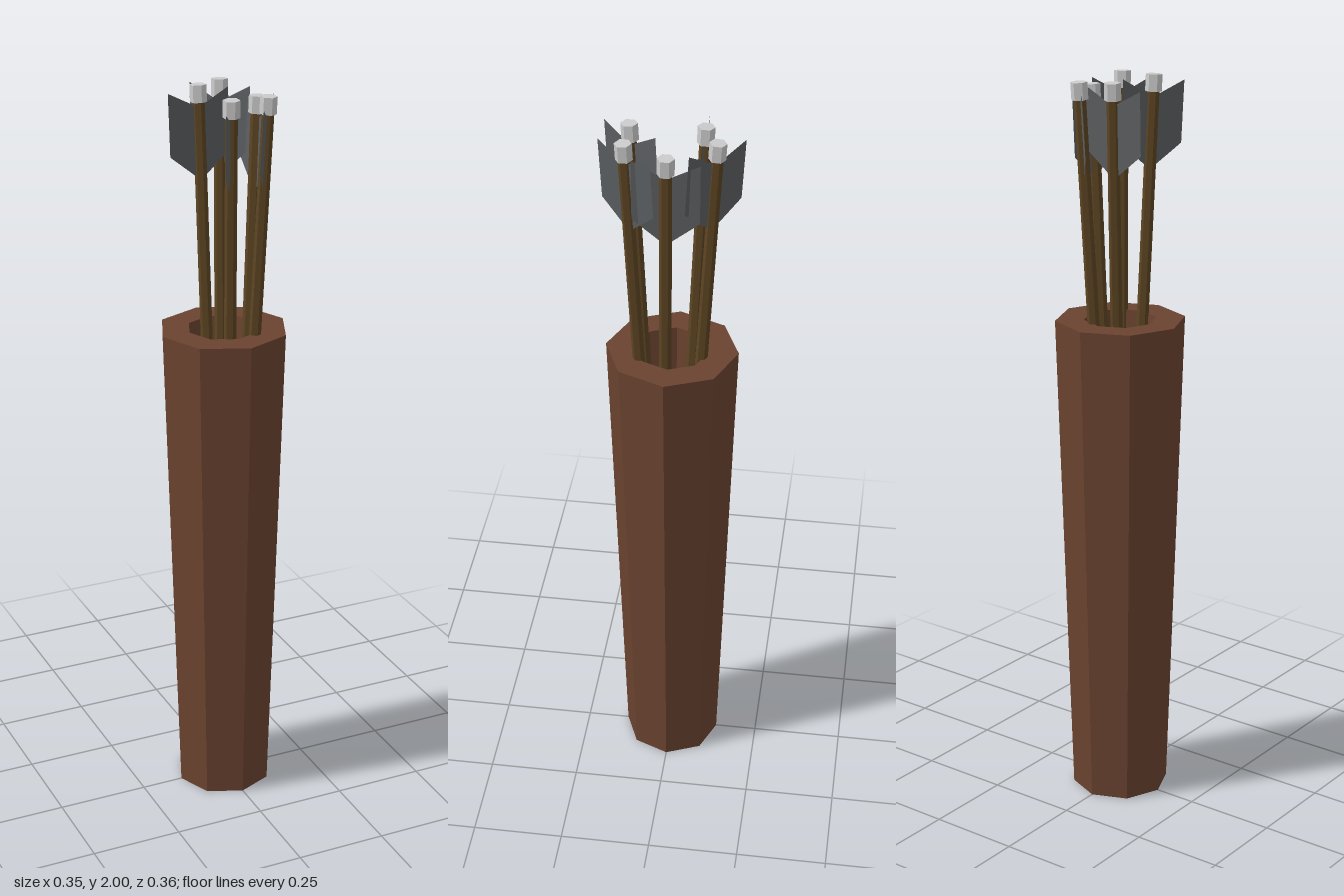
import * as THREE from 'three';

export function createModel() {
  const model = new THREE.Group();
  model.name = 'arrowQuiver';
  const mat = (color, side = THREE.FrontSide) =>
    new THREE.MeshStandardMaterial({ color, flatShading: true, side });
  const leather = mat(0x6b4330);
  const wood = mat(0x5c4422);
  const feather = mat(0x5c5f62, THREE.DoubleSide);
  const nockMat = mat(0xcccccc);

  // Octagonal quiver: closed base, flared wall, thick rim, funnel-shaped inside
  const profile = [[0, 0], [0.133, 0], [0.175, 1.36], [0.098, 1.36], [0, 0.05]]
    .map(([r, y]) => new THREE.Vector2(r, y));
  const quiver = new THREE.Mesh(new THREE.LatheGeometry(profile, 8), leather);
  quiver.name = 'quiver';
  model.add(quiver);

  // Two-winged vane, measured down from the top of the nock
  const vane = new THREE.Shape([
    [0, -0.06], [0.085, -0.015], [0.085, -0.18], [0, -0.25], [-0.085, -0.18], [-0.085, -0.015],
  ].map(([x, y]) => new THREE.Vector2(x, y)));
  const vaneGeo = new THREE.ShapeGeometry(vane);
  const nockGeo = new THREE.CylinderGeometry(0.022, 0.022, 0.045, 6);

  // Arrows: top of nock, foot inside the quiver, direction of the vane in x and z
  const arrows = [
    { top: [-0.035, 1.998, -0.08], foot: [-0.01, 0.15, 0], wing: [1, -0.02] },
    { top: [0.043, 1.998, -0.118], foot: [0, 0.15, -0.01], wing: [0.105, 0.118] },
    { top: [0.094, 1.975, 0.003], foot: [0.02, 0.15, 0.02], wing: [0, 1] },
    { top: [0.075, 1.998, 0.11], foot: [0.015, 0.15, 0.025], wing: [0.09, -0.135] },
    { top: [-0.028, 1.998, 0.11], foot: [0.005, 0.15, 0.02], wing: [0.095, -0.142] },
  ];
  arrows.forEach(({ top, foot, wing }, i) => {
    const head = new THREE.Vector3(...top);
    const axis = head.clone().sub(new THREE.Vector3(...foot));
    const length = axis.length();
    axis.normalize();

    const arrow = new THREE.Group();
    arrow.name = `arrow${i + 1}`;
    arrow.position.copy(head);
    arrow.quaternion.setFromUnitVectors(new THREE.Vector3(0, 1, 0), axis);

    const shaft = new THREE.Mesh(
      new THREE.CylinderGeometry(0.016, 0.016, length - 0.04, 6), wood);
    shaft.name = 'shaft';
    shaft.position.y = -(length + 0.04) / 2;

    const nock = new THREE.Mesh(nockGeo, nockMat);
    nock.name = 'nock';
    nock.position.y = -0.0225;

    const fletching = new THREE.Mesh(vaneGeo, feather);
    fletching.name = 'fletching';
    fletching.rotation.y = Math.atan2(-wing[1], wing[0]);

    arrow.add(shaft, nock, fletching);
    model.add(arrow);
  });
  return model;
}
